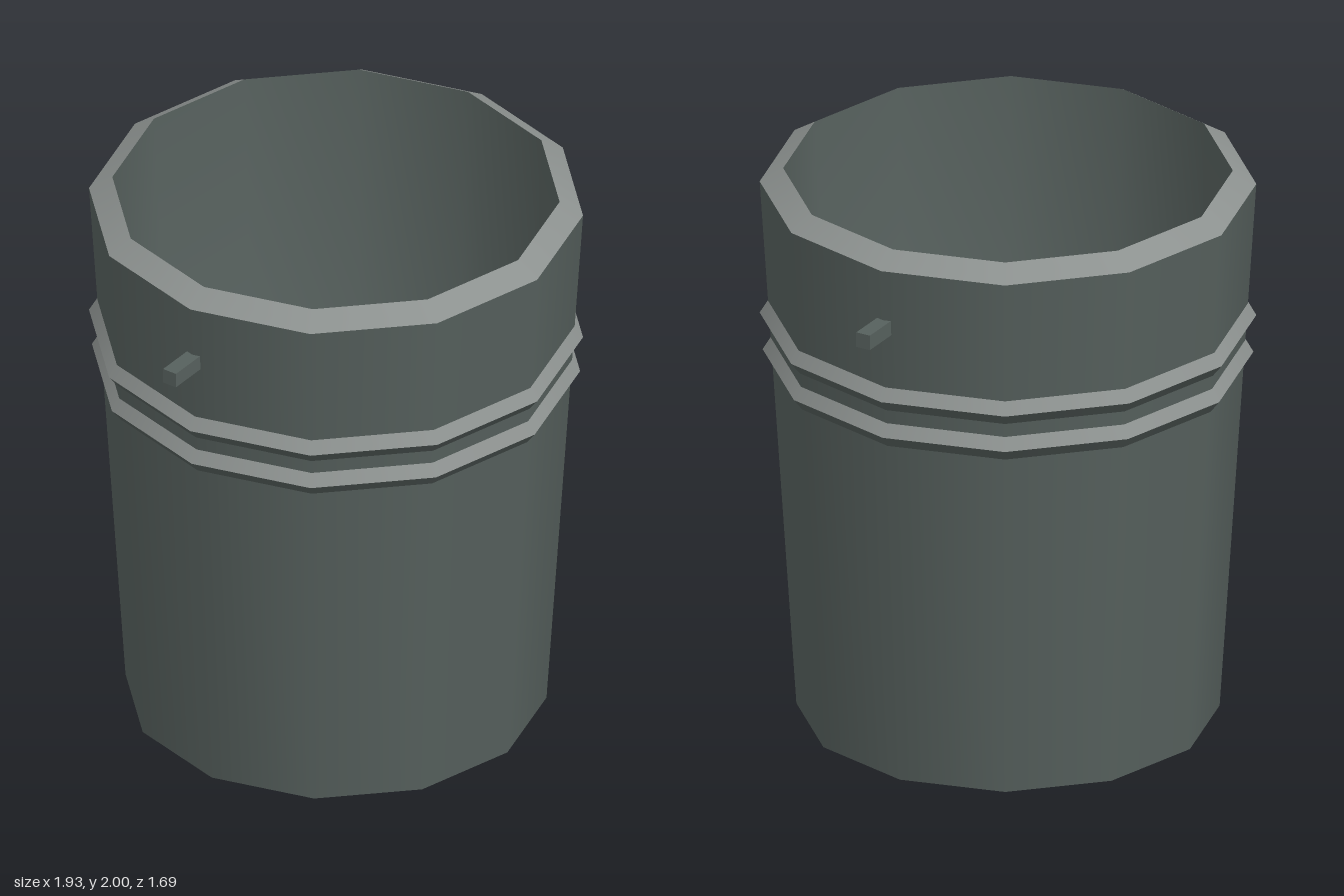
import * as THREE from 'three';

const SIDES = 12;

export function createModel() {
  const model = new THREE.Group();
  model.name = 'bucket';

  const dark = new THREE.MeshStandardMaterial({ color: 0x56605d });
  dark.name = 'dark grey';
  const light = new THREE.MeshStandardMaterial({ color: 0x8c918f });
  light.name = 'worn light grey';

  const add = (name, geometry, material, parent = model) => {
    const mesh = new THREE.Mesh(geometry, material);
    mesh.name = name;
    parent.add(mesh);
    return mesh;
  };
  // Twelve-sided surface of revolution from [radius, height] pairs
  const turn = (points) =>
    new THREE.LatheGeometry(points.map(([r, y]) => new THREE.Vector2(r, y)), SIDES);

  // Tapered shell, inside with floor, and underside
  add('outerWall', turn([[0.72, 0], [0.845, 1.95]]), dark);
  add('innerWall', turn([[0.765, 2], [0.66, 0.06], [0, 0.06]]), dark);
  add('underside', new THREE.CircleGeometry(0.72, SIDES).rotateX(Math.PI / 2), dark);

  // Sloping rim
  add('rim', turn([[0.845, 1.95], [0.765, 2]]), light);

  // Two raised hoops: dark lower slope, light upper slope
  for (const [bottom, peakRadius] of [[1.28, 0.835], [1.417, 0.845]]) {
    const hoop = new THREE.Group();
    hoop.name = 'hoop';
    model.add(hoop);
    const peak = bottom + 0.043;
    const top = bottom + 0.087;
    const wall = (y) => 0.72 + (0.125 * y) / 1.95;
    add('hoopLower', turn([[wall(bottom), bottom], [peakRadius, peak]]), dark, hoop);
    add('hoopUpper', turn([[peakRadius, peak], [wall(top), top]]), light, hoop);
  }

  // Square side pins
  for (const side of [-1, 1]) {
    add(side > 0 ? 'leftPin' : 'rightPin', new THREE.BoxGeometry(0.165, 0.054, 0.054), dark)
      .position.set(side * 0.8825, 1.735, 0);
  }

  return model;
}
